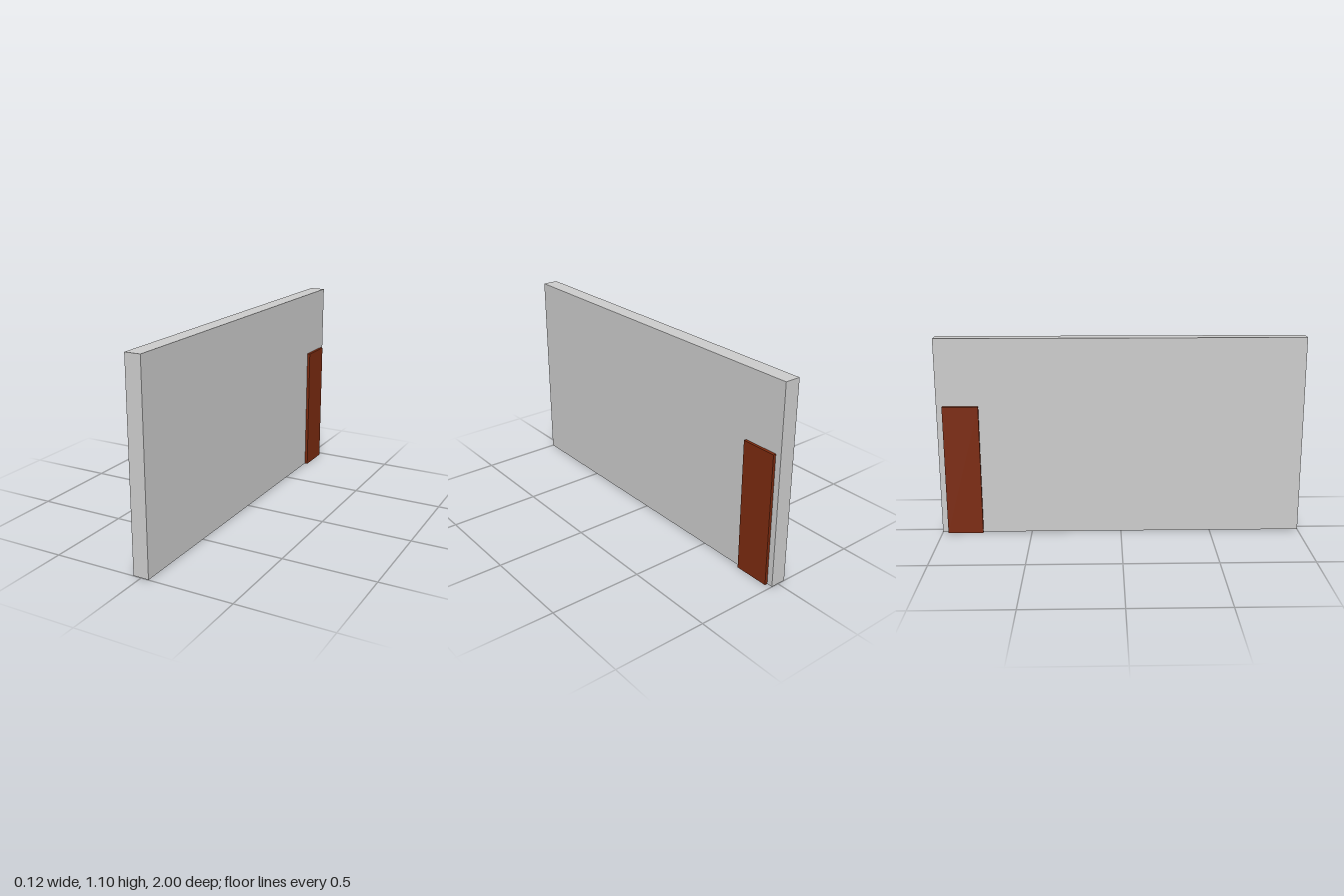
import * as THREE from 'three';

// Box standing on a given base height, centred on x
function block(name, color, width, height, depth, base, z) {
  const mesh = new THREE.Mesh(
    new THREE.BoxGeometry(width, height, depth),
    new THREE.MeshStandardMaterial({ color })
  );
  mesh.name = name;
  mesh.position.set(0, base + height / 2, z);
  return mesh;
}

export function createModel() {
  const model = new THREE.Group();
  model.name = 'wallWithDoor';

  // Long wall, raised a hair so its underside does not fight with the door's
  model.add(block('wall', 0xcccccc, 0.086, 1.094, 2, 0.001, 0));

  // Door slab passing through the wall near its back end, proud on both sides
  model.add(block('door', 0x7b2a0f, 0.117, 0.725, 0.195, 0, -0.87));

  return model;
}
